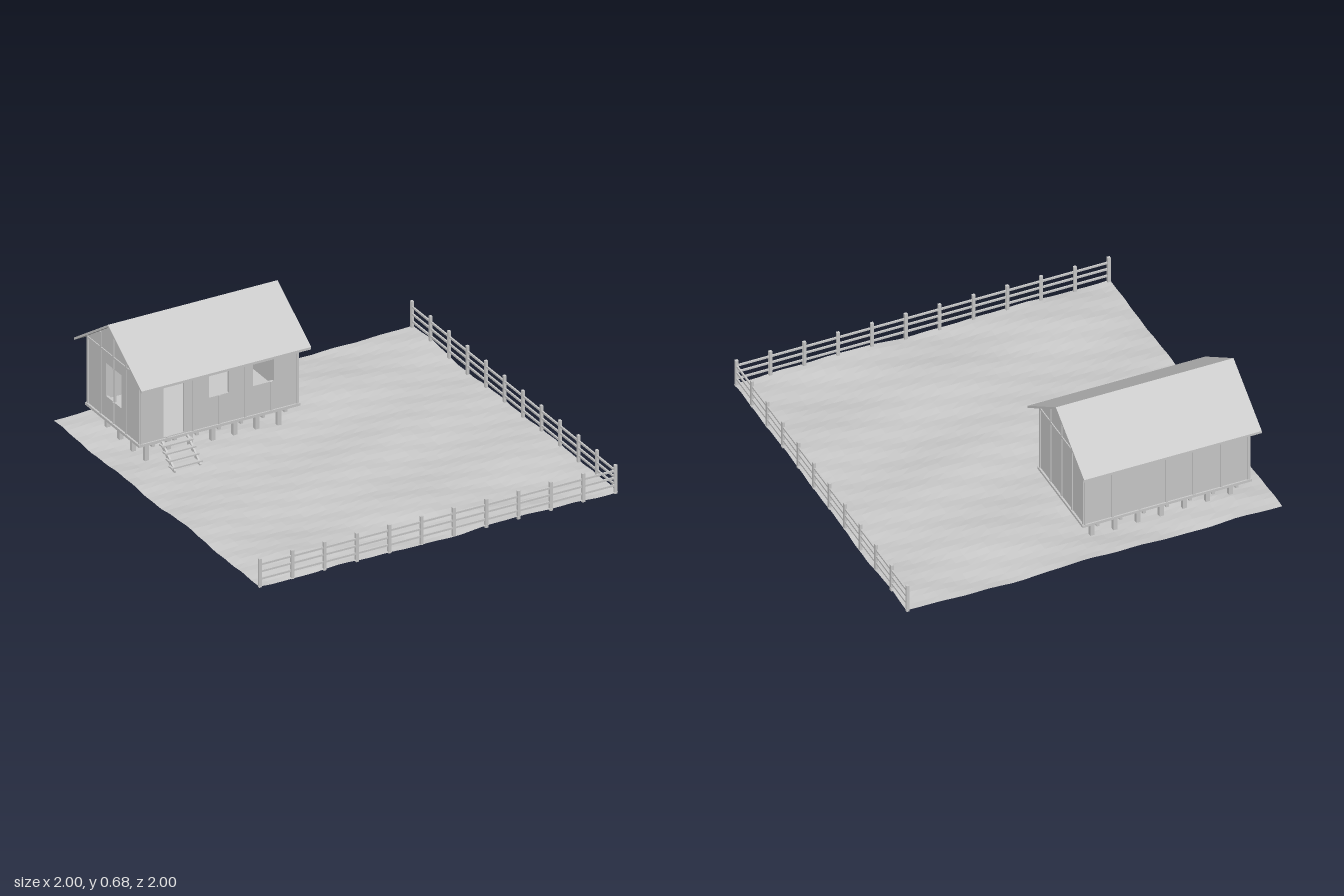
import * as THREE from 'three';

const grey = new THREE.MeshStandardMaterial({ color: 0xcccccc, flatShading: true });
const sheet = new THREE.MeshStandardMaterial({ color: 0xcccccc, flatShading: true, side: THREE.DoubleSide });

// House extents
const X0 = -0.88, X1 = 0, ZB = -0.88, ZF = -0.37, ZM = -0.625, Y0 = 0.135, T = 0.012;
const RIDGE = 0.685, SLOPE = 0.66, ROOF_T = 0.013;
const under = z => RIDGE - ROOF_T - SLOPE * Math.abs(z - ZM);

function add(parent, name, geometry, x = 0, y = 0, z = 0, material = grey) {
  const mesh = new THREE.Mesh(geometry, material);
  mesh.name = name;
  mesh.position.set(x, y, z);
  parent.add(mesh);
  return mesh;
}

// Box given by its two opposite corners
function box(parent, name, x0, x1, y0, y1, z0, z1) {
  return add(parent, name, new THREE.BoxGeometry(x1 - x0, y1 - y0, z1 - z0),
    (x0 + x1) / 2, (y0 + y1) / 2, (z0 + z1) / 2);
}

// Flat panel with rectangular openings [u0, u1, v0, v1]
function panel(points, openings, depth) {
  const shape = new THREE.Shape(points.map(p => new THREE.Vector2(...p)));
  for (const [a, b, c, d] of openings) {
    shape.holes.push(new THREE.Path([[a, c], [a, d], [b, d], [b, c]].map(p => new THREE.Vector2(...p))));
  }
  return new THREE.ExtrudeGeometry(shape, { depth, bevelEnabled: false });
}

function groundHeight(x, z) {
  const n = Math.sin(x * 7 + 2 * Math.sin(z * 4)) * 0.4
    + Math.sin(z * 11 + x * 3 + 1) * 0.3
    + Math.sin(x * 19 - z * 13) * Math.sin(z * 23 + x * 5) * 0.3;
  return 0.015 + 0.014 * n;
}

function buildGround() {
  const g = new THREE.PlaneGeometry(2, 2, 32, 48).rotateX(-Math.PI / 2);
  const p = g.attributes.position;
  for (let i = 0; i < p.count; i++) p.setY(i, Math.max(0, groundHeight(p.getX(i), p.getZ(i))));
  g.computeVertexNormals();
  const mesh = new THREE.Mesh(g, sheet);
  mesh.name = 'ground';
  return mesh;
}

// One straight run of fence along x
function buildFence(name) {
  const fence = new THREE.Group();
  fence.name = name;
  for (let i = 0; i < 12; i++) {
    const x = -0.99 + i * 0.18;
    box(fence, 'fencePost', x - 0.008, x + 0.008, 0.005, 0.16, -0.007, 0.007);
  }
  for (const y of [0.05, 0.09, 0.128]) box(fence, 'fenceRail', -0.99, 0.99, y - 0.005, y + 0.005, -0.004, 0.004);
  return fence;
}

function buildFoundation() {
  const base = new THREE.Group();
  base.name = 'foundation';
  for (let i = 0; i < 7; i++) {
    const x = -0.81 + i * 0.123;
    for (let j = 0; j < 4; j++) {
      const z = -0.435 - j * 0.125;
      box(base, 'stilt', x - 0.011, x + 0.011, 0.004, 0.118, z - 0.011, z + 0.011);
    }
    box(base, 'joist', x - 0.008, x + 0.008, 0.112, 0.127, ZB - 0.008, ZF + 0.008);
  }
  box(base, 'floor', X0 - 0.01, X1 + 0.01, 0.126, 0.14, ZB - 0.008, ZF + 0.008);
  return base;
}

function buildWalls() {
  const walls = new THREE.Group();
  walls.name = 'walls';
  const top = under(ZF);
  const rect = [[X0, Y0], [X1, Y0], [X1, top], [X0, top]];
  const front = [[-0.75, -0.635, 0.145, 0.445], [-0.495, -0.385, 0.295, 0.435], [-0.25, -0.135, 0.295, 0.435]];
  const side = [[-0.7, -0.55, 0.255, 0.435]];
  add(walls, 'frontWall', panel(rect, front, T), 0, 0, ZF - T);
  add(walls, 'backWall', panel(rect, [], T), 0, 0, ZB);

  // Gable ends
  const gable = [[ZB, Y0], [ZF, Y0], [ZF, top], [ZM, under(ZM)], [ZB, top]];
  add(walls, 'gableWall', panel(gable, [], T), X1).rotation.y = -Math.PI / 2;
  add(walls, 'gableWindowWall', panel(gable, side, T), X0 + T).rotation.y = -Math.PI / 2;
  box(walls, 'windowMullion', X0, X0 + T, 0.255, 0.435, ZM - 0.005, ZM + 0.005);

  // Battens, broken where they meet an opening
  const w = 0.006, out = 0.005;
  for (let i = 0; i <= 6; i++) {
    const x = X0 + w + i * (X1 - X0 - 2 * w) / 6;
    box(walls, 'backBatten', x - w, x + w, Y0, top, ZB - out, ZB);
    const hit = front.find(o => x + w > o[0] && x - w < o[1]);
    const spans = hit ? [[Y0, hit[2]], [hit[3], top]] : [[Y0, top]];
    for (const [a, b] of spans) box(walls, 'frontBatten', x - w, x + w, a, b, ZF, ZF + out);
  }
  for (let i = 0; i <= 4; i++) {
    const z = ZB + w + i * (ZF - ZB - 2 * w) / 4;
    const h = under(z) - 0.004;
    box(walls, 'gableBatten', X1, X1 + out, Y0, h, z - w, z + w);
    const spans = i === 2 ? [[Y0, 0.255], [0.435, h]] : [[Y0, h]];
    for (const [a, b] of spans) box(walls, 'gableBatten', X0 - out, X0, a, b, z - w, z + w);
  }
  // Tie beams across the gables
  box(walls, 'tieBeam', X1, X1 + out, top - 0.012, top, ZB, ZF);
  box(walls, 'tieBeam', X0 - out, X0, top - 0.012, top, ZB, ZF);
  return walls;
}

function buildRoof() {
  const eave = 0.328, drop = RIDGE - SLOPE * eave;
  const profile = [[ZM - eave, drop - ROOF_T], [ZM, RIDGE - ROOF_T], [ZM + eave, drop - ROOF_T],
    [ZM + eave, drop], [ZM, RIDGE], [ZM - eave, drop]];
  const roof = new THREE.Mesh(panel(profile, [], 0.945), grey);
  roof.name = 'roof';
  roof.rotation.y = -Math.PI / 2;
  roof.position.x = 0.032;
  return roof;
}

function buildStairs() {
  const stairs = new THREE.Group();
  stairs.name = 'stairs';
  for (let i = 0; i < 4; i++) {
    const y = 0.113 - i * 0.026, z = -0.35 + i * 0.03;
    box(stairs, 'tread', -0.775, -0.603, y - 0.004, y + 0.004, z - 0.017, z + 0.017);
  }
  // Sloping stringers
  const line = [[-0.37, 0.105], [-0.25, 0.01], [-0.236, 0.01], [-0.236, 0.026], [-0.362, 0.13], [-0.37, 0.13]];
  for (const x of [-0.755, -0.613]) {
    add(stairs, 'stringer', panel(line, [], 0.01), x, 0, 0, sheet).rotation.y = -Math.PI / 2;
  }
  return stairs;
}

export function createModel() {
  const model = new THREE.Group();
  model.name = 'cabinOnStilts';
  const frontFence = buildFence('frontFence');
  frontFence.position.z = 0.99;
  const sideFence = buildFence('sideFence');
  sideFence.rotation.y = Math.PI / 2;
  sideFence.position.x = 0.99;
  const house = new THREE.Group();
  house.name = 'house';
  house.add(buildFoundation(), buildWalls(), buildRoof(), buildStairs());
  model.add(buildGround(), frontFence, sideFence, house);
  return model;
}
